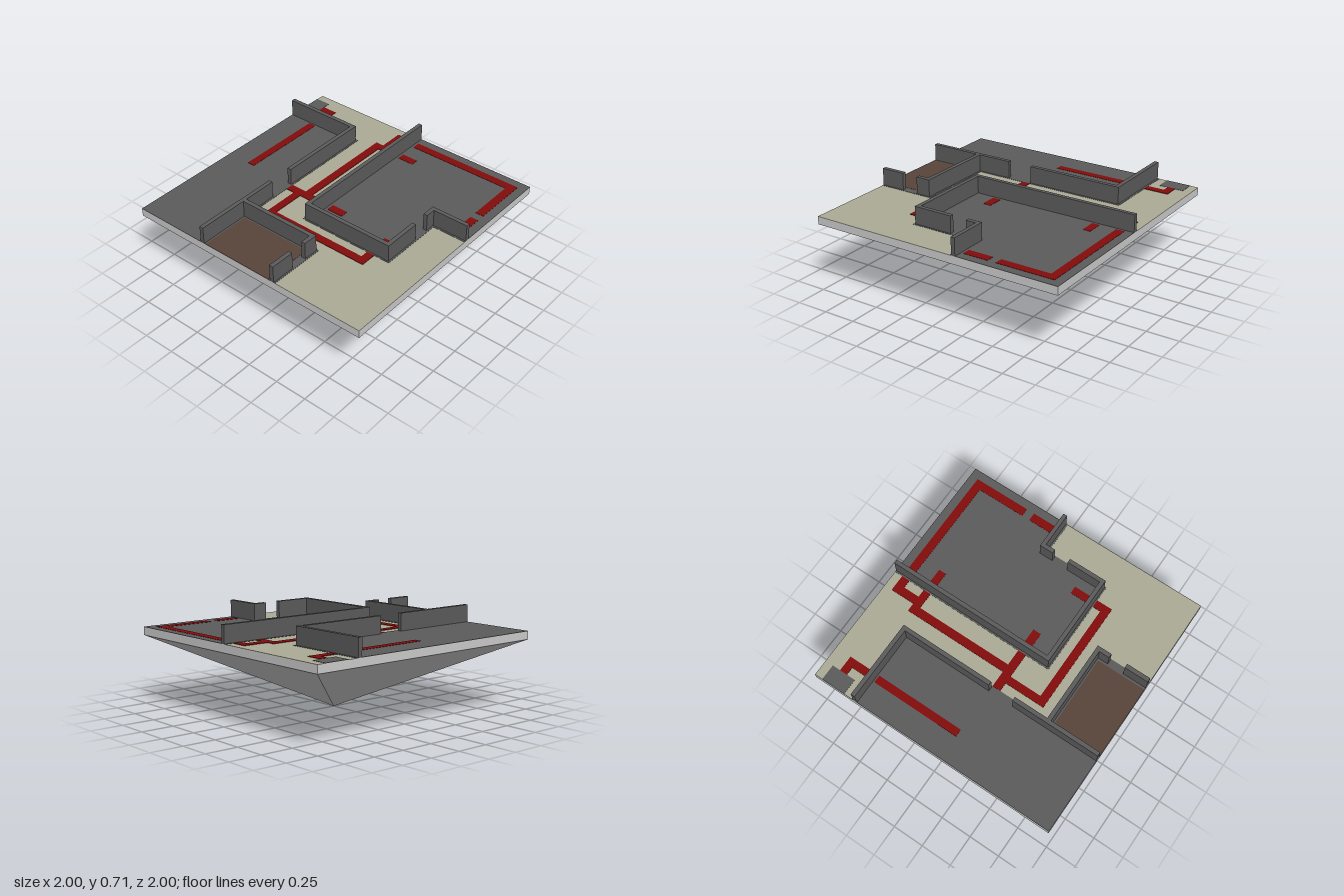
import * as THREE from 'three';

const mat = (name, color) => {
  const m = new THREE.MeshStandardMaterial({ color });
  m.name = name;
  return m;
};

export function createModel() {
  const model = new THREE.Group();
  model.name = 'floorPlanIsland';
  const stone = mat('lightGrey', 0xcacaca);
  const dark = mat('darkGrey', 0x5b5b5b);
  const sand = mat('sand', 0xacaa96);
  const brown = mat('brown', 0x58453a);
  const red = mat('darkRed', 0x820c0c);

  // Boxes given as [x0, x1, z0, z1], all between heights y0 and y1
  const addBoxes = (name, material, y0, y1, rects) => {
    const group = new THREE.Group();
    group.name = name;
    rects.forEach(([x0, x1, z0, z1], i) => {
      const geo = new THREE.BoxGeometry(x1 - x0, y1 - y0, z1 - z0);
      const mesh = new THREE.Mesh(geo, material);
      mesh.position.set((x0 + x1) / 2, (y0 + y1) / 2, (z0 + z1) / 2);
      mesh.name = `${name}${i + 1}`;
      group.add(mesh);
    });
    model.add(group);
  };

  // Inverted pyramid underneath
  const cone = new THREE.ConeGeometry(Math.SQRT2, 0.519, 4, 1, true).toNonIndexed();
  cone.rotateY(Math.PI / 4).rotateX(Math.PI).translate(0, 0.2595, 0);
  cone.computeVertexNormals();
  const pyramid = new THREE.Mesh(cone, stone);
  pyramid.name = 'underside';
  model.add(pyramid);

  // Slab and its ground layers
  addBoxes('slab', stone, 0.519, 0.579, [[-1, 1, -1, 1]]);
  addBoxes('ground', sand, 0.579, 0.58, [[-1, 1, -1, 1]]);
  addBoxes('roomFloor', dark, 0.58, 0.582, [
    [-1, 0.675, -1, -0.36],
    [-1, -0.55, -0.36, 0.285],
    [-0.353, 1, -0.035, 0.735],
    [0.16, 1, 0.735, 1],
    [0.74, 0.935, -1, -0.875],
  ]);
  addBoxes('brownFloor', brown, 0.582, 0.5835, [[-1, -0.61, -0.36, 0.223]]);

  // Red floor lines, interrupted at the walls
  addBoxes('floorLine', red, 0.58, 0.584, [
    [-0.095, 0.615, -0.81, -0.75],
    [0.675, 0.81, -0.81, -0.75],
    [0.81, 0.87, -0.875, -0.75],
    [-0.16, -0.095, -0.36, -0.035],
    [-0.16, -0.095, 0.03, 0.16],
    [-0.417, -0.16, -0.29, -0.23],
    [-0.48, -0.417, -0.29, 0.61],
    [-0.417, -0.353, 0.55, 0.61],
    [-0.29, -0.16, 0.55, 0.61],
    [-0.095, 0.74, -0.23, -0.165],
    [0.68, 0.74, -0.165, -0.035],
    [0.68, 0.74, 0.03, 0.16],
    [0.74, 0.935, -0.165, -0.1],
    [0.87, 0.935, -0.1, -0.035],
    [0.87, 0.935, 0.03, 0.935],
    [0.485, 0.87, 0.87, 0.935],
    [0.225, 0.42, 0.87, 0.935],
  ]);

  // Walls of the back hall, the brown room and the front room
  addBoxes('backWall', dark, 0.58, 0.714, [
    [-1, -0.295, -0.405, -0.373],
    [-0.095, 0.66, -0.405, -0.373],
    [0.627, 0.66, -1, -0.405],
  ]);
  addBoxes('brownRoomWall', dark, 0.58, 0.714, [
    [-0.598, -0.565, -0.373, 0.273],
    [-1, -0.81, 0.24, 0.273],
    [-0.68, -0.598, 0.24, 0.273],
  ]);
  addBoxes('frontRoomWall', dark, 0.58, 0.714, [
    [-0.342, 1, -0.022, 0.01],
    [-0.342, -0.31, 0.01, 0.722],
    [-0.31, -0.035, 0.69, 0.722],
    [0.095, 0.205, 0.69, 0.722],
    [0.174, 0.205, 0.722, 1],
  ]);

  return model;
}
